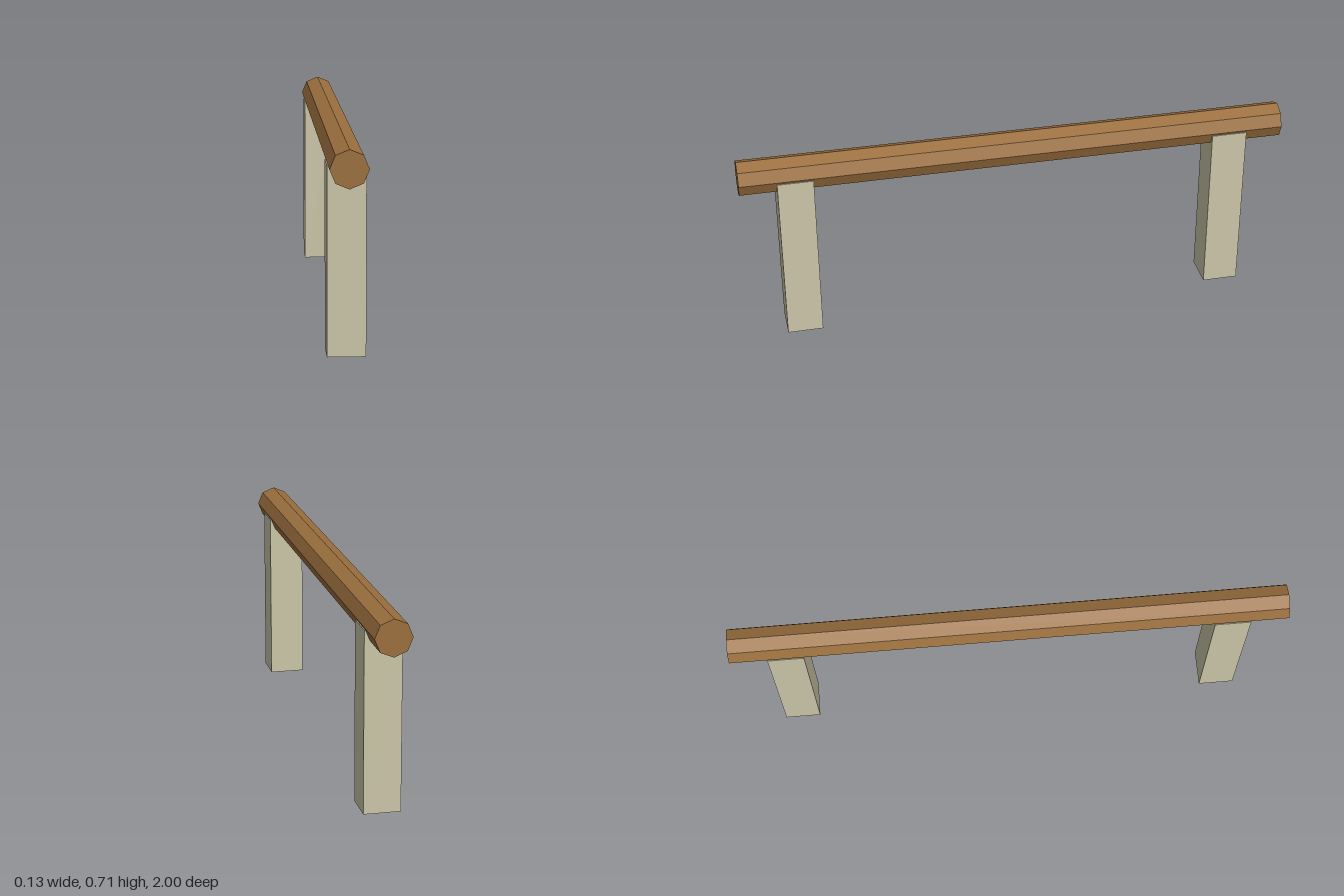
import * as THREE from 'three';

export function createModel() {
  const wood = new THREE.MeshStandardMaterial({ color: 0x9b6f3e, flatShading: true });
  wood.name = 'brown wood';
  const stone = new THREE.MeshStandardMaterial({ color: 0xcac5a7, flatShading: true });
  stone.name = 'pale post';

  const model = new THREE.Group();
  model.name = 'beamOnPosts';

  // Octagonal log along z, with an edge pointing straight up
  const log = new THREE.Mesh(new THREE.CylinderGeometry(0.0645, 0.0645, 2, 8), wood);
  log.name = 'log';
  log.rotation.x = Math.PI / 2;
  log.position.y = 0.65;
  model.add(log);

  // Square posts, one near each end, reaching up into the log
  const postHeight = 0.642;
  const postGeometry = new THREE.BoxGeometry(0.13, postHeight, 0.13);
  for (const [name, z] of [['frontPost', 0.8], ['backPost', -0.8]]) {
    const post = new THREE.Mesh(postGeometry, stone);
    post.name = name;
    post.position.set(0, postHeight / 2, z);
    model.add(post);
  }

  return model;
}
